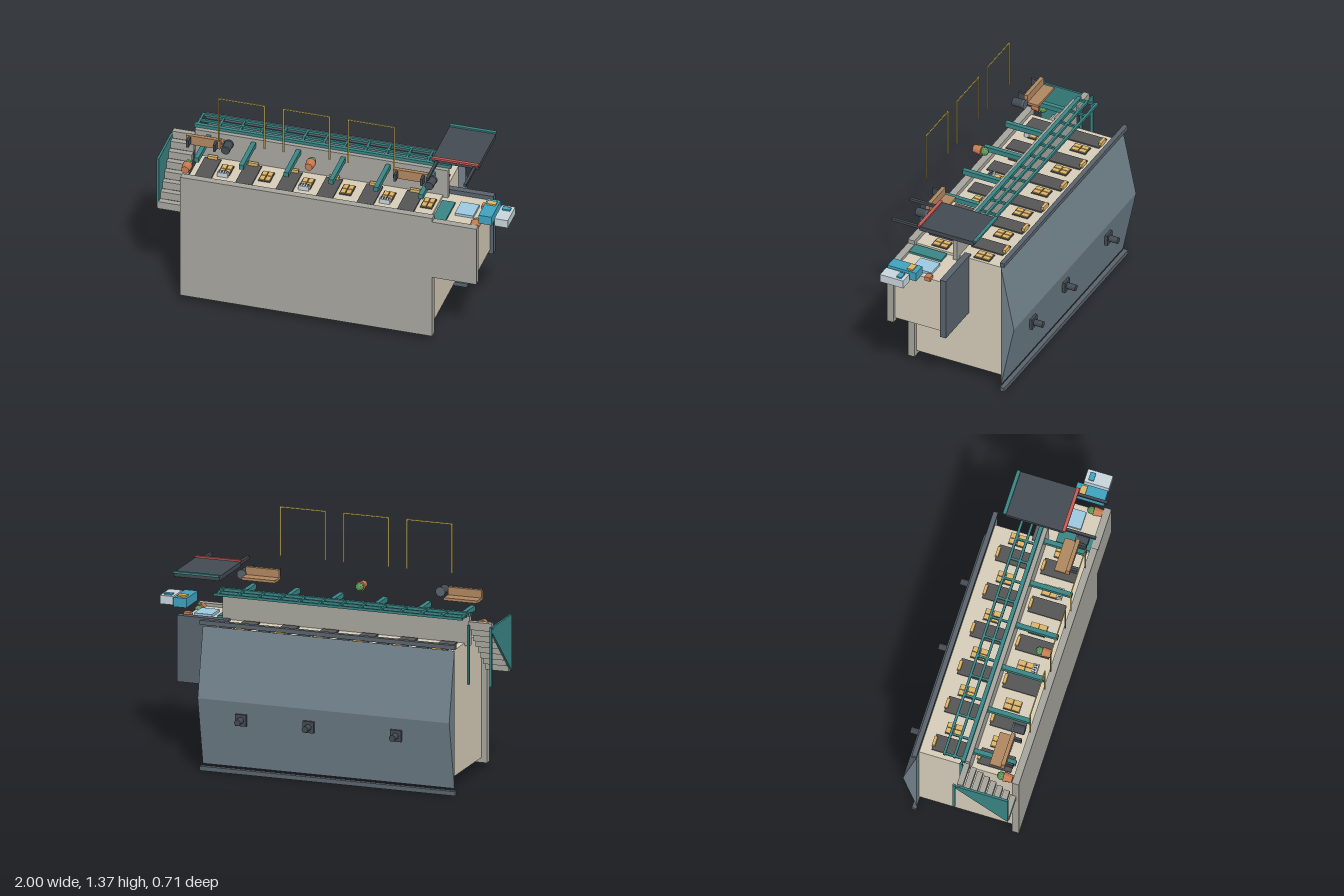
import * as THREE from 'three';

// A two-storey roadside lodge lying on its back: its storeys rise along -z, its facade faces +y.
const mats = {};
const mat = (color) => (mats[color] ??= new THREE.MeshStandardMaterial({ color, flatShading: true }));
const C = {
  cream: 0xd6cdb9, slab: 0xa6a59d, roof: 0x72828c, trim: 0x59636d, teal: 0x3a8585, dark: 0x434a52,
  door: 0x555555, gold: 0xdfb565, line: 0xc9b45c, wood: 0xb08660, pot: 0xc67b52, leaf: 0x5f9a5c,
  blue: 0x3fa3c0, pale: 0xc8d5dc, glass: 0x9cc9e0, red: 0xc85a55,
};

export function createModel() {
  const model = new THREE.Group();

  const add = (name, geo, color) => {
    const m = new THREE.Mesh(geo, mat(color));
    m.name = name;
    model.add(m);
    return m;
  };
  // Box between two limits on each axis
  const box = (name, color, x0, x1, y0, y1, z0, z1) => {
    const m = add(name, new THREE.BoxGeometry(x1 - x0, y1 - y0, z1 - z0), color);
    m.position.set((x0 + x1) / 2, (y0 + y1) / 2, (z0 + z1) / 2);
    return m;
  };
  // Upright (in the building's sense) cylinder: axis along z, top towards -z
  const drum = (name, color, x, y, z0, z1, rTop, rBase = rTop, sides = 16) => {
    const m = add(name, new THREE.CylinderGeometry(rTop, rBase, z1 - z0, sides), color);
    m.rotation.x = -Math.PI / 2;
    m.position.set(x, y, (z0 + z1) / 2);
    return m;
  };
  // Flat outline in (z, y) pushed along x
  const prism = (name, color, pts, x0, x1) => {
    const shape = new THREE.Shape(pts.map(([z, y]) => new THREE.Vector2(-z, y)));
    const geo = new THREE.ExtrudeGeometry(shape, { depth: x1 - x0, bevelEnabled: false });
    geo.rotateY(Math.PI / 2);
    const m = add(name, geo, color);
    m.position.x = x0;
    return m;
  };

  // Ground slabs and main volumes
  box('mainSlab', C.slab, -0.86, 0.578, 0.04, 0.81, 0.315, 0.355);
  box('officeSlab', C.slab, 0.575, 0.83, 0.425, 0.787, 0.315, 0.355);
  box('mainBody', C.cream, -0.83, 0.555, 0.07, 0.785, -0.225, 0.315);
  box('officeBody', C.cream, 0.55, 0.81, 0.445, 0.77, 0.03, 0.315);
  box('officeRoof', C.trim, 0.53, 0.83, 0.42, 0.797, -0.007, 0.03);

  // Gabled roof with eave boards and vents
  prism('roof', C.roof, [[-0.225, 0.035], [-0.305, 0.425], [-0.225, 0.815]], -0.875, 0.596);
  for (const y of [0, 0.827]) box('eaveBoard', C.trim, -0.887, 0.605, y, y + 0.025, -0.25, -0.223);
  for (const x of [-0.56, -0.05, 0.345]) {
    box('ventBase', C.dark, x - 0.032, x + 0.032, 0.29, 0.355, -0.305, -0.288);
    drum('ventPipe', C.dark, x, 0.322, -0.357, -0.3, 0.018);
  }

  // Upper walkway, columns and railing
  box('walkway', C.slab, -0.86, 0.585, 0.77, 0.947, 0.05, 0.075);
  for (const z of [-0.072, -0.014]) box('rail', C.teal, -0.865, 0.59, 0.948, 0.962, z - 0.007, z + 0.007);
  box('walkwayEdge', C.teal, -0.873, 0.594, 0.945, 0.965, 0.028, 0.05);
  for (let i = 0; i < 6; i++) {
    const x = -0.78 + i * 0.256;
    box('column', C.teal, x - 0.013, x + 0.013, 0.898, 0.927, 0.075, 0.315);
  }
  for (let i = 0; i < 13; i++) {
    const x = -0.855 + i * 0.119;
    box('railPost', C.teal, x - 0.006, x + 0.006, 0.948, 0.961, -0.075, 0.035);
  }

  // Outside stair with its side panel and handrails
  for (let i = 0; i < 8; i++) {
    const y = 0.572 + i * 0.042, z = 0.34 - i * 0.038;
    box('step', C.slab, -0.99, -0.855, y, y + 0.045, z - 0.033, z);
  }
  prism('stairPanel', C.teal, [[0.335, 0.57], [0.025, 0.87], [0.06, 0.893], [0.335, 0.893]], -1, -0.988);
  for (const x of [-0.994, -0.862]) box('handrail', C.teal, x - 0.006, x + 0.006, 0.56, 0.895, 0.018, 0.034);

  // Room doors, lamps and windows on both floors
  for (const top of [-0.165, 0.095]) {
    for (let i = 0; i < 6; i++) {
      const x = -0.75 + i * 0.231;
      box('roomDoor', C.door, x - 0.047, x + 0.047, 0.78, 0.793, top, top + 0.195);
      box('doorLamp', C.gold, x - 0.028, x + 0.028, 0.785, 0.81, top - 0.004, top + 0.013);
      const wx = x + 0.1, wz = top + 0.088;
      box('windowFrame', C.door, wx - 0.034, wx + 0.034, 0.78, 0.791, wz - 0.048, wz + 0.048);
      for (const sx of [-1, 1]) for (const sz of [-1, 1]) {
        const px = wx + sx * 0.016, pz = wz + sz * 0.023;
        box('windowPane', C.gold, px - 0.0135, px + 0.0135, 0.785, 0.796, pz - 0.02, pz + 0.02);
      }
      // Cooling units below every second ground-floor window
      if (top > 0 && i % 2 === 0) {
        box('coolingUnit', C.pale, wx - 0.03, wx + 0.03, 0.78, 0.812, 0.222, 0.252);
        for (let k = 0; k < 4; k++) {
          const gx = wx - 0.021 + k * 0.014;
          box('coolingSlot', C.door, gx - 0.003, gx + 0.003, 0.81, 0.816, 0.228, 0.246);
        }
      }
    }
  }

  // Office front
  box('officeDoor', C.teal, 0.565, 0.64, 0.765, 0.782, 0.12, 0.315);
  box('officeWindow', C.glass, 0.67, 0.775, 0.765, 0.785, 0.11, 0.23);
  box('officeLamp', C.pot, 0.79, 0.83, 0.765, 0.79, 0.092, 0.125);

  // Sign board on two poles, left blank
  box('signBoard', C.dark, 0.525, 0.79, 1.057, 1.083, -0.155, 0.175);
  box('signLowerStrip', C.red, 0.525, 0.79, 1.08, 1.092, 0.168, 0.187);
  box('signUpperStrip', C.teal, 0.525, 0.79, 1.08, 1.092, -0.172, -0.152);
  for (const x of [0.55, 0.765]) box('signPole', C.dark, x - 0.008, x + 0.008, 1.053, 1.069, -0.09, 0.355);

  // Parking bay lines
  for (const x of [-0.645, -0.275, 0.095]) {
    for (const e of [x, x + 0.262]) box('bayLine', C.line, e, e + 0.008, 1.085, 1.368, 0.35, 0.356);
    box('bayEnd', C.line, x, x + 0.27, 1.36, 1.368, 0.35, 0.356);
  }

  // Benches
  for (const x of [-0.853, 0.33]) {
    box('benchSeat', C.wood, x, x + 0.196, 0.978, 1.035, 0.25, 0.272);
    box('benchBack', C.wood, x, x + 0.196, 0.976, 0.991, 0.185, 0.252);
    for (const lx of [x + 0.015, x + 0.167]) box('benchLeg', C.dark, lx, lx + 0.014, 0.985, 1.028, 0.27, 0.315);
  }

  // Litter bins
  for (const [x, y] of [[-0.615, 1.005], [0.547, 0.99]]) {
    drum('litterBin', C.dark, x, y, 0.25, 0.315, 0.025);
    drum('binRim', C.trim, x, y, 0.242, 0.252, 0.028);
  }

  // Potted plants
  for (const [x, y] of [[-0.14, 0.985], [-0.845, 0.835], [0.8, 0.765]]) {
    drum('flowerPot', C.pot, x, y, 0.265, 0.315, 0.028, 0.022, 12);
    const plant = add('potPlant', new THREE.IcosahedronGeometry(0.024, 1), C.leaf);
    plant.position.set(x, y, 0.25);
  }

  // Vending and ice machines
  box('vendingMachine', C.blue, 0.83, 0.905, 0.8, 0.853, 0.138, 0.313);
  box('vendingPanel', C.gold, 0.842, 0.893, 0.85, 0.862, 0.165, 0.2);
  box('iceMachine', C.pale, 0.92, 0.997, 0.8, 0.848, 0.17, 0.313);
  box('icePanel', C.blue, 0.935, 0.982, 0.845, 0.856, 0.19, 0.22);

  return model;
}
